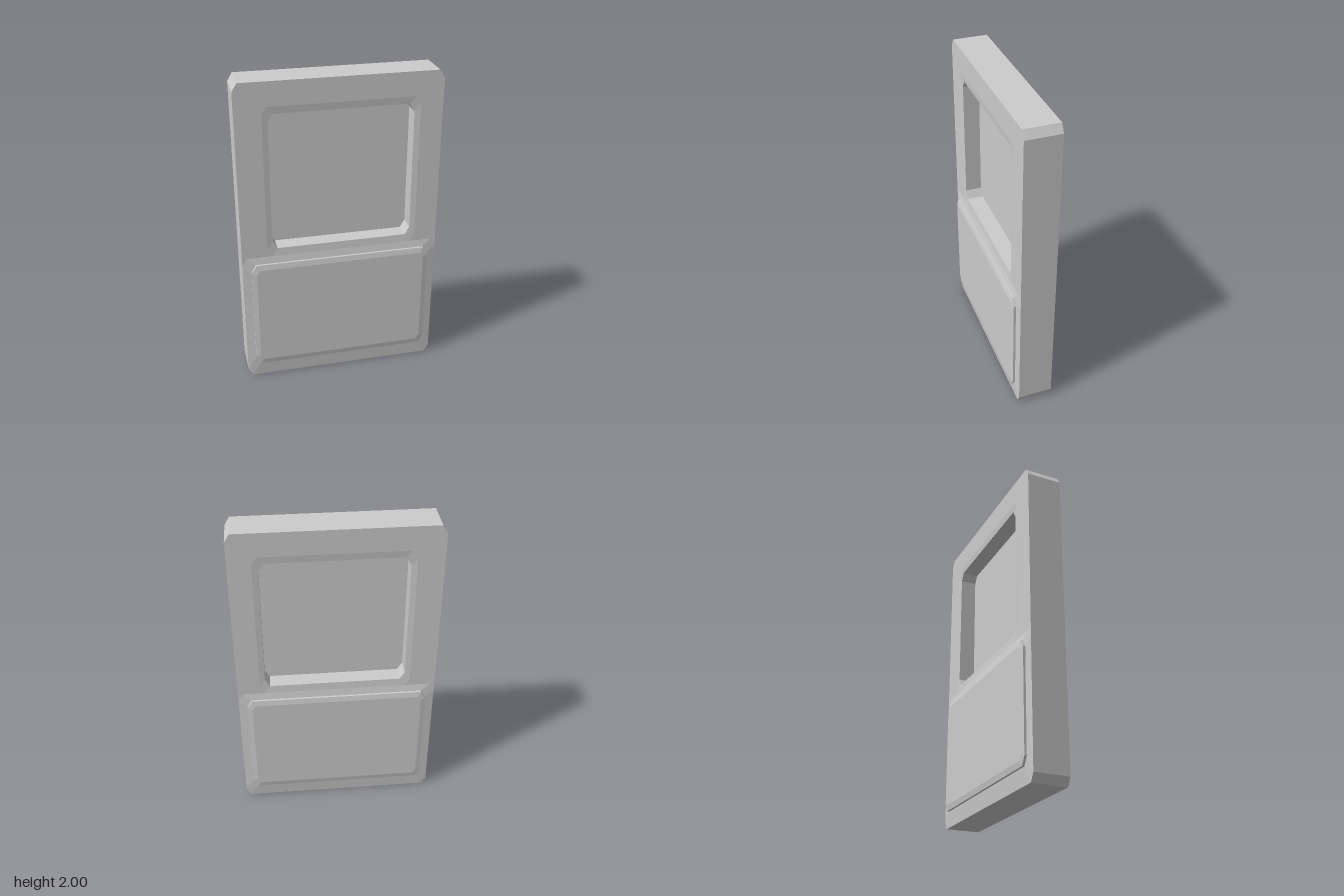
import * as THREE from 'three';

const material = new THREE.MeshStandardMaterial({ color: 0xcccccc, flatShading: true });
const HALF = 0.11; // half thickness of the slab

// Rectangle with cut corners, counter-clockwise
function outline(x0, x1, y0, y1, cx = 0.03, cy = 0.05) {
  return [
    [x0 + cx, y0], [x1 - cx, y0], [x1, y0 + cy], [x1, y1 - cy],
    [x1 - cx, y1], [x0 + cx, y1], [x0, y1 - cy], [x0, y0 + cy],
  ].map(([x, y]) => new THREE.Vector2(x, y));
}

// Joins outlines at successive depths and closes the last one with a flat cap
function loft(rings) {
  const positions = [], index = [];
  const n = rings[0].points.length;
  rings.forEach(({ points, z }) => points.forEach((p) => positions.push(p.x, p.y, z)));
  for (let r = 0; r < rings.length - 1; r++) {
    for (let i = 0; i < n; i++) {
      const j = (i + 1) % n;
      const a = r * n + i, b = r * n + j;
      index.push(a, b, b + n, a, b + n, a + n);
    }
  }
  const last = (rings.length - 1) * n;
  for (let i = 1; i < n - 1; i++) index.push(last, last + i, last + i + 1);
  const geometry = new THREE.BufferGeometry();
  geometry.setAttribute('position', new THREE.Float32BufferAttribute(positions, 3));
  geometry.setIndex(index);
  const flat = geometry.toNonIndexed();
  flat.computeVertexNormals();
  return flat;
}

export function createModel() {
  const model = new THREE.Group();
  model.name = 'door';

  const add = (name, geometry) => {
    const mesh = new THREE.Mesh(geometry, material);
    mesh.name = name;
    model.add(mesh);
  };

  // Slab with the window opening cut through
  const slab = new THREE.Shape(outline(-0.625, 0.625, 0, 2));
  slab.holes.push(new THREE.Path(outline(-0.465, 0.485, 0.885, 1.85).reverse()));
  const slabGeometry = new THREE.ExtrudeGeometry(slab, { depth: 2 * HALF, bevelEnabled: false });
  slabGeometry.translate(0, 0, -HALF);
  add('frame', slabGeometry);

  // Both faces carry the same window and panel; the back is turned round
  for (const side of ['front', 'back']) {
    const shift = side === 'front' ? 0.01 : -0.01; // window sits slightly off centre
    const place = (geometry) => (side === 'front' ? geometry : geometry.rotateY(Math.PI));
    const opening = outline(shift - 0.44, shift + 0.44, 0.935, 1.805);

    // Sloped lip, recess walls and pane
    add(side + 'Window', place(loft([
      { points: outline(shift - 0.475, shift + 0.475, 0.885, 1.85), z: HALF },
      { points: opening, z: 0.105 },
      { points: opening, z: 0.001 },
    ])));

    // Shallow slope rising to the lower panel
    const panel = outline(-0.57, 0.57, 0.1, 0.84);
    add(side + 'PanelSurround', place(loft([
      { points: outline(-0.625, 0.625, 0, 0.885), z: HALF },
      { points: panel, z: 0.119 },
    ])));

    // Raised lower panel with a soft bevel
    add(side + 'Panel', place(loft([
      { points: panel, z: 0.115 },
      { points: panel, z: 0.133 },
      { points: outline(-0.54, 0.54, 0.135, 0.805, 0.02, 0.03), z: 0.14 },
    ])));
  }
  return model;
}
